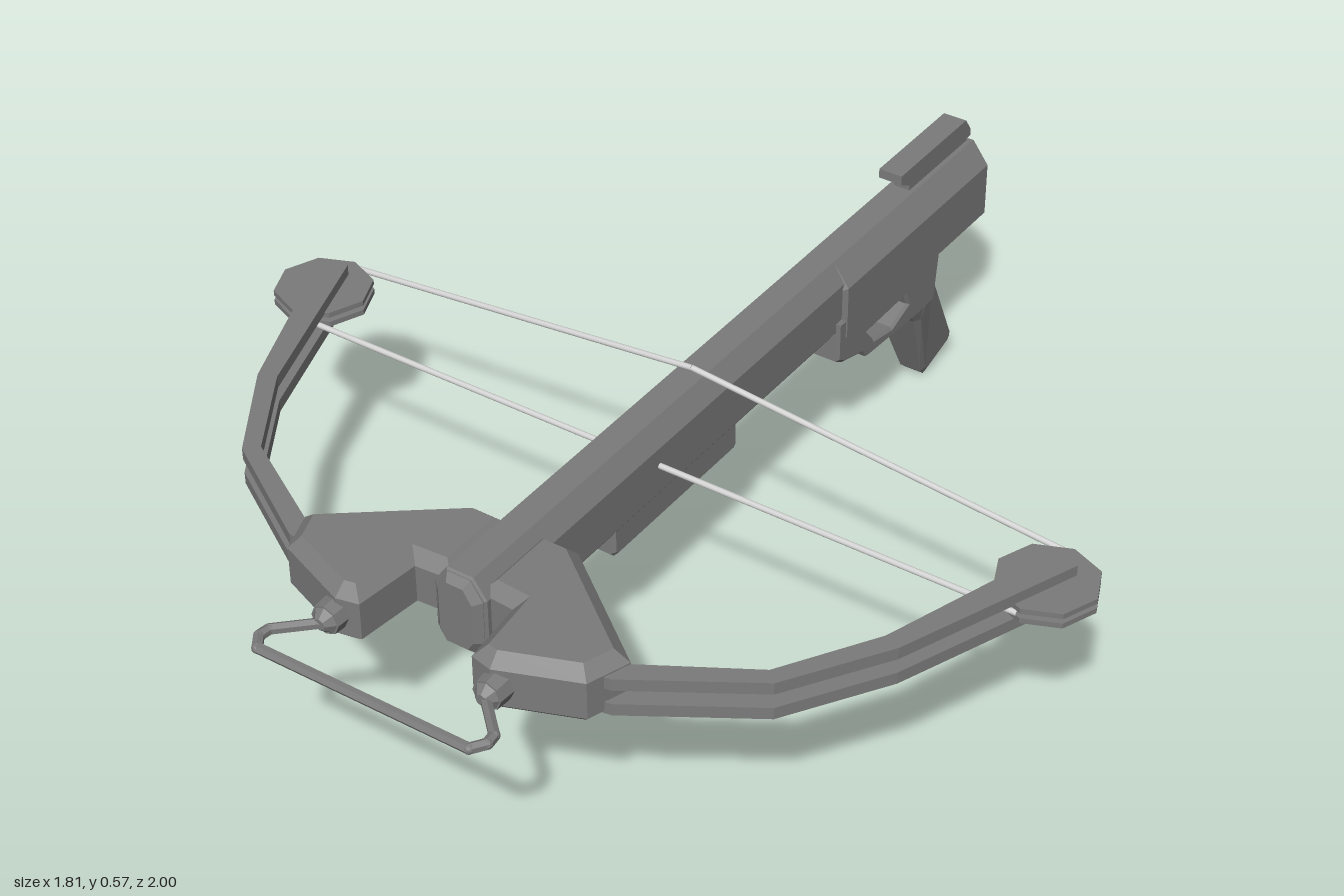
import * as THREE from 'three';

const metal = new THREE.MeshStandardMaterial({ color: 0x7b7b7b });
metal.name = 'gunmetal grey';
const cord = new THREE.MeshStandardMaterial({ color: 0xd2d2d2 });
cord.name = 'pale string';

export function createModel() {
  const model = new THREE.Group();
  model.name = 'crossbow';

  // Adds a faceted mesh
  function add(name, geometry, parent = model) {
    const g = geometry.index ? geometry.toNonIndexed() : geometry;
    g.computeVertexNormals();
    const mesh = new THREE.Mesh(g, metal);
    mesh.name = name;
    parent.add(mesh);
  }

  const vectors = (pts) => pts.map(([a, b]) => new THREE.Vector2(a, b));

  // Extrusion between depths a and b with an inset chamfer
  function prism(pts, a, b, bevel, hole) {
    const shape = new THREE.Shape(vectors(pts));
    if (hole) shape.holes.push(new THREE.Path(vectors(hole)));
    const g = new THREE.ExtrudeGeometry(shape, {
      depth: b - a - 2 * bevel, bevelEnabled: bevel > 0, bevelSize: bevel,
      bevelThickness: bevel, bevelOffset: -bevel, bevelSegments: 1,
    });
    return g.translate(0, 0, a + bevel);
  }
  // Side profile given as (z, y), centred on x
  const side = (pts, half, bevel, hole) => prism(pts, -half, half, bevel, hole).rotateY(-Math.PI / 2);
  // Plan outline given as (x, z), between two heights
  const plan = (pts, y0, y1, bevel) =>
    prism(pts.map(([x, z]) => [x, -z]), y0, y1, bevel).rotateX(-Math.PI / 2);

  // Straight round bar between two points
  const bar = (a, b, r, sides) => new THREE.TubeGeometry(
    new THREE.LineCurve3(new THREE.Vector3(...a), new THREE.Vector3(...b)), 1, r, sides);

  // Smooth round string
  function string(name, a, b, parent) {
    const mesh = new THREE.Mesh(bar(a, b, 0.006, 12), cord);
    mesh.name = name;
    parent.add(mesh);
  }

  // Long chamfered barrel
  add('barrel', prism([
    [-0.035, 0.335], [0.035, 0.335], [0.056, 0.365], [0.056, 0.465], [0.028, 0.505],
    [-0.028, 0.505], [-0.056, 0.465], [-0.056, 0.365],
  ], -0.99, 0.715, 0.004));
  add('muzzle', prism([
    [-0.03, 0.34], [0.03, 0.34], [0.05, 0.37], [0.05, 0.462], [0.025, 0.5],
    [-0.025, 0.5], [-0.05, 0.462], [-0.05, 0.37],
  ], 0.69, 0.73, 0.014));

  // Rear stock, swelling the barrel below its ridge
  add('rearStock', prism([
    [-0.05, 0.322], [0.05, 0.322], [0.065, 0.34], [0.065, 0.456], [0.029, 0.504],
    [-0.029, 0.504], [-0.065, 0.456], [-0.065, 0.34],
  ], -1, -0.44, 0.008));
  add('foreBlock', side([
    [0.325, 0.37], [0.325, 0.3], [0.315, 0.29], [-0.075, 0.29], [-0.085, 0.3], [-0.085, 0.37],
  ], 0.046, 0.008));

  // Trigger housing and guard with its opening
  add('triggerGuard', side([
    [-0.42, 0.385], [-0.42, 0.295], [-0.445, 0.28], [-0.525, 0.258], [-0.535, 0.24],
    [-0.73, 0.228], [-0.8, 0.23], [-0.82, 0.385],
  ], 0.063, 0.006, [[-0.53, 0.305], [-0.68, 0.305], [-0.69, 0.28], [-0.63, 0.257], [-0.56, 0.27]]));
  add('trigger', side([
    [-0.56, 0.31], [-0.61, 0.315], [-0.64, 0.29], [-0.65, 0.262], [-0.625, 0.28],
  ], 0.015, 0));

  // Pistol grip, narrowing downwards
  const grip = side([
    [-0.69, 0.335], [-0.7, 0.232], [-0.73, 0.225], [-0.75, 0.195], [-0.825, 0.015],
    [-0.842, 0], [-0.93, 0.036], [-0.938, 0.055], [-0.805, 0.285], [-0.815, 0.335],
  ], 0.062, 0.012);
  const p = grip.attributes.position;
  for (let i = 0; i < p.count; i++) {
    p.setX(i, p.getX(i) * (0.44 + 0.56 * Math.min(1, p.getY(i) / 0.24)));
  }
  add('grip', grip);

  // Rear sight on a low mount
  add('sight', side([
    [-0.705, 0.565], [-0.705, 0.545], [-0.75, 0.52], [-0.982, 0.52], [-0.982, 0.535], [-0.96, 0.566],
  ], 0.026, 0));
  add('sightMount', new THREE.BoxGeometry(0.036, 0.03, 0.23).translate(0, 0.508, -0.867));

  for (const s of [1, -1]) {
    const half = new THREE.Group();
    half.name = s > 0 ? 'leftBow' : 'rightBow';
    model.add(half);
    const flip = (pts) => pts.map(([x, z]) => [s * x, z]);

    // Riser wing
    add('riser', plan(flip([
      [0.03, 0.52], [0.11, 0.52], [0.35, 0.705], [0.32, 0.79], [0.165, 0.85],
      [0.12, 0.84], [0.105, 0.705], [0.03, 0.7],
    ]), 0.364, 0.49, 0.024), half);

    // Twin limb rails
    const limb = flip([
      [0.25, 0.77], [0.345, 0.755], [0.575, 0.612], [0.7, 0.42], [0.845, 0.06],
      [0.79, 0.04], [0.665, 0.405], [0.55, 0.588], [0.33, 0.717], [0.25, 0.72],
    ]);
    add('lowerLimb', plan(limb, 0.383, 0.408, 0), half);
    add('upperLimb', plan(limb, 0.438, 0.463, 0), half);

    // Grooved octagonal cam wheel and axle
    for (const [name, r, h, y] of [
      ['camLower', 0.098, 0.011, 0.4145], ['camCore', 0.084, 0.02, 0.425],
      ['camUpper', 0.098, 0.011, 0.4355], ['camAxle', 0.018, 0.076, 0.423],
    ]) add(name, new THREE.CylinderGeometry(r, r, h, 8).translate(s * 0.807, y, 0.096), half);

    // Stirrup socket: rounded collar with a tapering nose
    for (const [name, tip, base, h, z] of [
      ['socketCollar', 0.03, 0.032, 0.035, 0.854], ['socketNose', 0.012, 0.027, 0.016, 0.879],
    ]) {
      add(name, new THREE.CylinderGeometry(tip, base, h, 8)
        .rotateX(Math.PI / 2).translate(s * 0.173, 0.428, z), half);
    }

    // Drawing string rises to the top of the barrel
    string('string', [s * 0.807, 0.43, 0.002], [0, 0.51, 0.002], half);
  }

  // Cable joining the front of the cams
  string('cable', [-0.8, 0.425, 0.19], [0.8, 0.425, 0.19], model);

  // Foot stirrup
  const bend = [[0.173, 0.875], [0.24, 0.94], [0.243, 0.963], [0.225, 0.989]];
  const pts = [...bend, ...bend.map(([x, z]) => [-x, z]).reverse()].map(([x, z]) => [x, 0.425, z]);
  for (let i = 1; i < pts.length; i++) {
    add('stirrupBar', bar(pts[i - 1], pts[i], 0.0105, 6));
    add('stirrupJoint', new THREE.IcosahedronGeometry(0.0105, 1).translate(...pts[i]));
  }

  return model;
}
